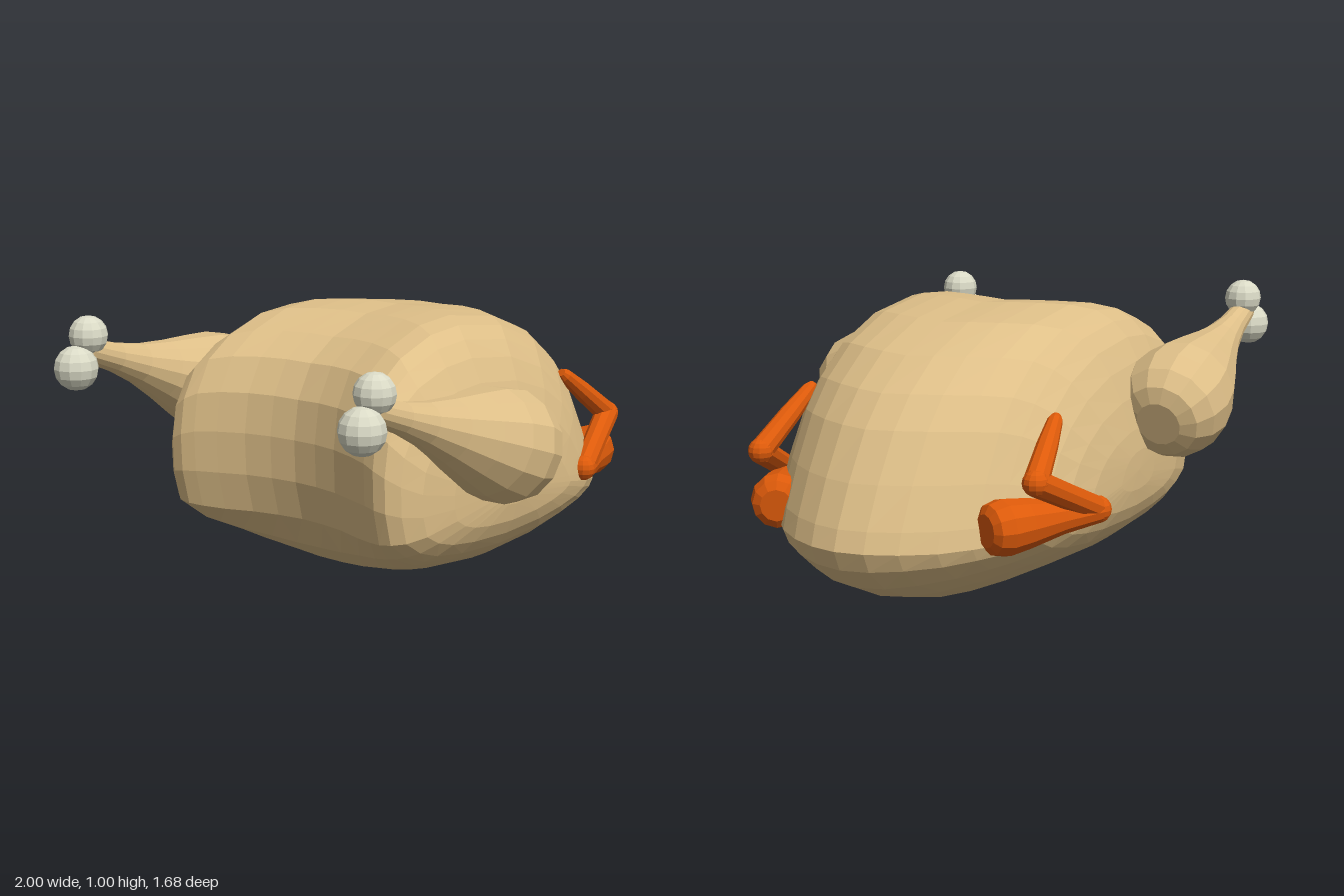
import * as THREE from 'three';

const material = (color) => new THREE.MeshStandardMaterial({ color, flatShading: true });
const skin = material(0xdebf88);
const bone = material(0xdadac6);
const wingSkin = material(0xdd5a0a);
const V = (x, y, z) => new THREE.Vector3(x, y, z);

function add(parent, name, geometry, mat) {
  const mesh = new THREE.Mesh(geometry, mat);
  mesh.name = name;
  parent.add(mesh);
  return mesh;
}

// Turned limb from point a to point b; profile holds [fraction along, radius]
function limb(parent, name, a, b, profile, sides, mat) {
  const length = a.distanceTo(b);
  const pts = [[0, 0], ...profile, [1, 0]].map(([t, r]) => new THREE.Vector2(r, t * length));
  const mesh = add(parent, name, new THREE.LatheGeometry(pts, sides), mat);
  mesh.position.copy(a);
  mesh.quaternion.setFromUnitVectors(V(0, 1, 0), b.clone().sub(a).normalize());
}

function ball(parent, name, p, r, mat) {
  add(parent, name, new THREE.SphereGeometry(r, 12, 8), mat).position.copy(p);
}

// Side outline of the body: u runs rear to nose; v is -1 at the keel, 0 at the ridge, 1 on top
const OUTLINE = [
  [1, 0], [0.985, 0.1], [0.94, 0.3], [0.875, 0.53], [0.81, 0.68], [0.71, 0.83],
  [0.56, 0.95], [0.375, 1], [0.26, 0.98], [0.14, 0.895], [0.06, 0.785], [0.015, 0.615],
  [0, 0.415], [0.003, 0.2], [0.025, 0], [0.09, -0.42], [0.17, -0.69], [0.29, -0.88],
  [0.48, -1], [0.69, -0.91], [0.825, -0.72], [0.92, -0.5], [0.98, -0.23],
];

// Half of the body's slices: z, rear x, nose x, bottom y, ridge y, top y
const SLICES = [
  [0, -0.5, 1.0, 0, 0.3, 0.985],
  [0.1, -0.51, 0.982, 0.01, 0.3, 0.99],
  [0.2, -0.53, 0.935, 0.04, 0.3, 0.99],
  [0.3, -0.565, 0.86, 0.08, 0.3, 0.985],
  [0.38, -0.595, 0.775, 0.12, 0.305, 0.965],
  [0.43, -0.61, 0.71, 0.145, 0.31, 0.925],
  [0.475, -0.605, 0.65, 0.175, 0.315, 0.87],
  [0.515, -0.57, 0.585, 0.205, 0.32, 0.79],
  [0.55, -0.5, 0.49, 0.25, 0.335, 0.69],
  [0.575, -0.36, 0.34, 0.3, 0.365, 0.58],
  [0.586, -0.14, 0.12, 0.36, 0.4, 0.5],
];

// Body: outline slices stacked across z, hollowed at the rear and rounded at the sides
function bodyGeometry() {
  const mirrored = SLICES.slice(1).reverse().map(([z, ...rest]) => [-z, ...rest]);
  const slices = [...mirrored, ...SLICES];
  const n = OUTLINE.length;
  const last = (slices.length - 1) * n;
  const pos = [];
  const index = [];
  for (const [z, rear, nose, bottom, ridge, top] of slices) {
    for (const [u, v] of OUTLINE) {
      const reach = v > 0 ? top - ridge : ridge - bottom;
      pos.push(rear + (nose - rear) * u, ridge + reach * v, z);
    }
  }
  const center = pos.length / 3;
  pos.push(-0.01, 0.43, -0.588, -0.01, 0.43, 0.588);
  for (let i = 0; i < n; i++) {
    const j = (i + 1) % n;
    for (let r = 0; r < last; r += n) {
      index.push(r + i, r + j, r + n + i, r + j, r + n + j, r + n + i);
    }
    index.push(center, j, i, center + 1, last + i, last + j);
  }
  const g = new THREE.BufferGeometry();
  g.setAttribute('position', new THREE.Float32BufferAttribute(pos, 3));
  g.setIndex(index);
  g.computeVertexNormals();
  return g;
}

const LEG = [[0, 0.08], [0.025, 0.135], [0.09, 0.178], [0.18, 0.197], [0.3, 0.183], [0.43, 0.148],
  [0.57, 0.107], [0.71, 0.072], [0.84, 0.052], [1, 0.042]];
const UPPER_WING = [[0, 0.055], [0.04, 0.083], [0.15, 0.095], [0.33, 0.085], [0.65, 0.06], [1, 0.046]];
const MID_WING = [[0, 0.042], [0.5, 0.042], [1, 0.044]];
const WING_TIP = [[0, 0.042], [0.55, 0.036], [0.93, 0.026], [1, 0.016]];

// Drumstick with two round knuckles at the bone end
function leg(name, lift, zThick, zThin) {
  const g = new THREE.Group();
  g.name = name;
  limb(g, 'drumstick', V(-0.025, 0.55 + lift, zThick), V(-0.87, 0.835 + lift, zThin), LEG, 14, skin);
  ball(g, 'upperKnuckle', V(-0.86, 0.885 + lift, zThin), 0.068, bone);
  ball(g, 'lowerKnuckle', V(-0.92, 0.78 + lift, zThin), 0.077, bone);
  return g;
}

// Folded wing
function wing(name, shoulder, elbow, wrist, tip) {
  const g = new THREE.Group();
  g.name = name;
  limb(g, 'upperWing', shoulder, elbow, UPPER_WING, 12, wingSkin);
  limb(g, 'midWing', elbow, wrist, MID_WING, 10, wingSkin);
  limb(g, 'wingTip', wrist, tip, WING_TIP, 10, wingSkin);
  ball(g, 'elbow', elbow, 0.046, wingSkin);
  ball(g, 'wrist', wrist, 0.044, wingSkin);
  return g;
}

export function createModel() {
  const model = new THREE.Group();
  model.name = 'roastBird';
  add(model, 'body', bodyGeometry(), skin);
  model.add(leg('frontLeg', 0, 0.645, 0.64));
  model.add(leg('backLeg', 0.045, -0.65, -0.61));
  model.add(wing('frontWing',
    V(0.835, 0.37, 0.345), V(0.455, 0.39, 0.555), V(0.76, 0.53, 0.46), V(0.495, 0.72, 0.425)));
  model.add(wing('backWing',
    V(0.765, 0.37, -0.42), V(0.39, 0.385, -0.63), V(0.7, 0.53, -0.565), V(0.43, 0.69, -0.495)));
  return model;
}
